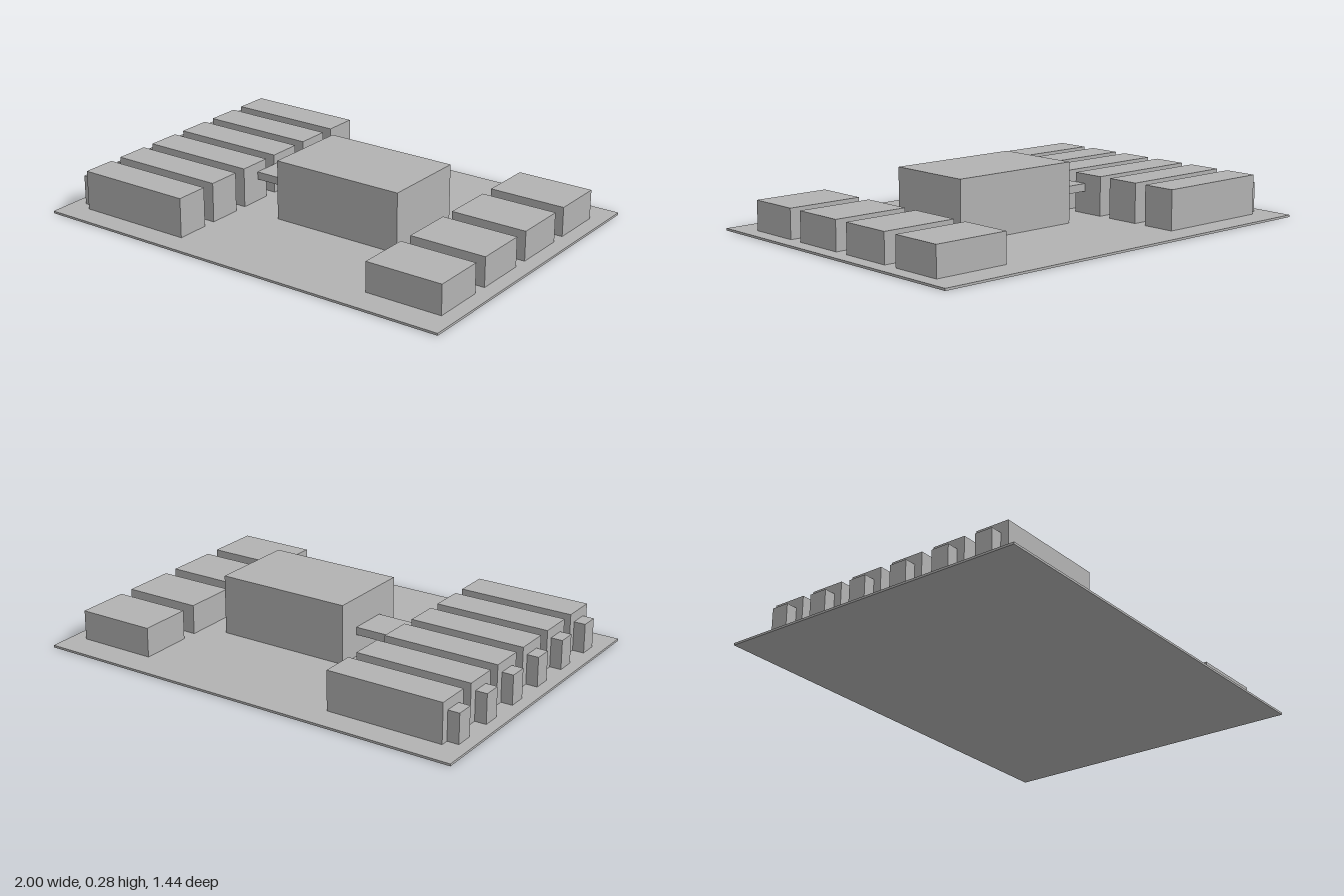
import * as THREE from 'three';

const BASE_TOP = 0.01;

export function createModel() {
  const model = new THREE.Group();
  model.name = 'siteModel';
  const grey = new THREE.MeshStandardMaterial({ color: 0xb2b2b2 });
  grey.name = 'plain grey';

  // Box from its extents in x and y, and its centre and depth in z
  function addBlock(parent, name, [x0, x1], [y0, y1], z, depth) {
    const mesh = new THREE.Mesh(new THREE.BoxGeometry(x1 - x0, y1 - y0, depth), grey);
    mesh.name = name;
    mesh.position.set((x0 + x1) / 2, (y0 + y1) / 2, z);
    parent.add(mesh);
  }

  // Thin ground slab
  addBlock(model, 'baseSlab', [-1, 1], [0, BASE_TOP], 0, 1.443);

  // Central hall and the raised link to the long units
  addBlock(model, 'mainHall', [-0.155, 0.466], [BASE_TOP, 0.279], 0.011, 0.4);
  addBlock(model, 'linkBridge', [-0.357, -0.155], [0.11, 0.145], 0.006, 0.178);

  // Row of six long units, each with a small annex at its outer end
  const longUnits = new THREE.Group();
  longUnits.name = 'longUnits';
  for (let i = 0; i < 6; i++) {
    const z = 0.006 + (i - 2.5) * 0.212;
    addBlock(longUnits, 'longUnit', [-0.892, -0.357], [BASE_TOP, 0.188], z, 0.154);
    addBlock(longUnits, 'endAnnex', [-0.945, -0.892], [BASE_TOP, 0.143], z, 0.082);
  }
  model.add(longUnits);

  // Row of four low units on the opposite side
  const lowUnits = new THREE.Group();
  lowUnits.name = 'lowUnits';
  for (let i = 0; i < 4; i++) {
    addBlock(lowUnits, 'lowUnit', [0.576, 0.931], [BASE_TOP, 0.143], (i - 1.5) * 0.312, 0.243);
  }
  model.add(lowUnits);

  return model;
}
